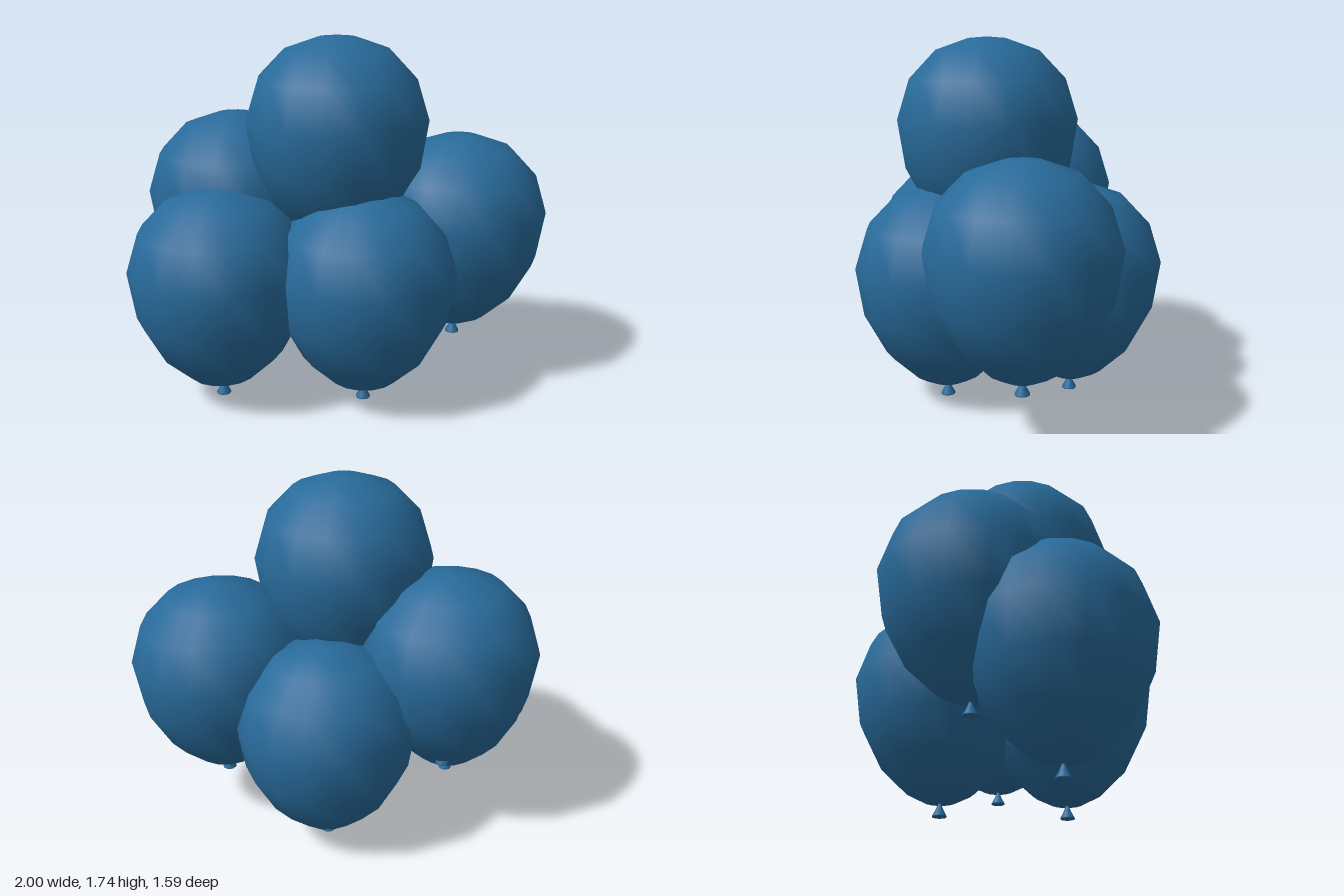
import * as THREE from 'three';

export function createModel() {
  const group = new THREE.Group();
  group.name = 'balloonBunch';
  const blue = new THREE.MeshStandardMaterial({ color: 0x286a9a });
  blue.name = 'balloon blue';

  const lathe = (points, sides) =>
    new THREE.LatheGeometry(points.map(([r, y]) => new THREE.Vector2(r, y)), sides);

  // Egg-shaped balloon skin, narrower towards the knot
  const bodyGeometry = lathe([
    [0, 0.065], [0.08, 0.076], [0.165, 0.12], [0.3, 0.25], [0.4, 0.44],
    [0.435, 0.67], [0.375, 0.86], [0.25, 0.99], [0.09, 1.046], [0, 1.053],
  ], 16);

  // Small flared knot with a shallow hollow underneath
  const knotGeometry = lathe([
    [0, 0.015], [0.024, 0.006], [0.035, 0.003], [0.035, 0.008], [0.02, 0.035], [0.005, 0.07],
  ], 12);

  // Balloon placements: name, x, lift, z
  const balloons = [
    ['topBalloon', -0.02, 0.687, 0.12],
    ['backBalloon', -0.3, 0.292, -0.36],
    ['leftHighBalloon', 0.56, 0.195, 0.355],
    ['frontBalloon', -0.03, 0, 0.36],
    ['rightBalloon', -0.567, 0, -0.075],
    ['leftBackBalloon', 0.275, 0, -0.168],
  ];
  for (const [name, x, y, z] of balloons) {
    const balloon = new THREE.Group();
    balloon.name = name;
    const body = new THREE.Mesh(bodyGeometry, blue);
    body.name = 'body';
    const knot = new THREE.Mesh(knotGeometry, blue);
    knot.name = 'knot';
    balloon.add(body, knot);
    balloon.position.set(x, y, z);
    group.add(balloon);
  }
  return group;
}
